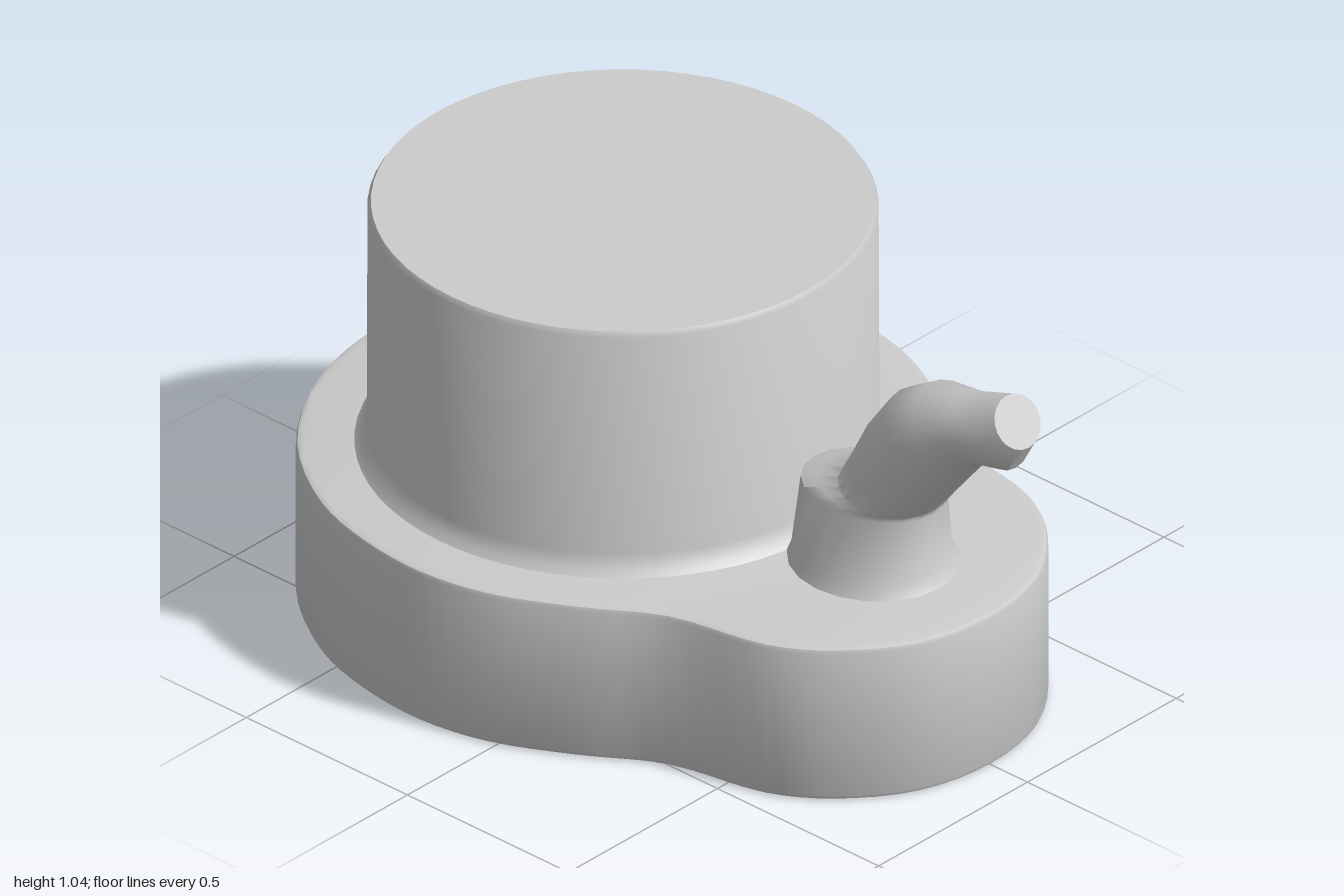
import * as THREE from 'three';
import { toCreasedNormals } from 'three/addons/utils/BufferGeometryUtils.js';

const material = new THREE.MeshStandardMaterial({ color: 0xcccccc });

function part(name, geometry, crease = 0.6) {
  const mesh = new THREE.Mesh(toCreasedNormals(geometry, crease), material);
  mesh.name = name;
  return mesh;
}

// Closed loft through oval sections; each is [leftX, leftY, rightX, rightY, halfDepth]
function loft(sections, sides, z) {
  const pos = [], index = [];
  for (const [lx, ly, rx, ry, b] of sections) {
    for (let i = 0; i < sides; i++) {
      const a = (i / sides) * Math.PI * 2, t = (1 + Math.cos(a)) / 2;
      pos.push(lx + (rx - lx) * t, ly + (ry - ly) * t, z + b * Math.sin(a));
    }
  }
  const last = (sections.length - 1) * sides;
  for (let s = 0; s < last; s += sides) {
    for (let i = 0; i < sides; i++) {
      const j = (i + 1) % sides, a = s + i, b = s + j;
      index.push(a, a + sides, b, b, a + sides, b + sides);
    }
  }
  for (let i = 1; i < sides - 1; i++) {
    index.push(0, i, i + 1, last, last + i + 1, last + i);
  }
  const g = new THREE.BufferGeometry();
  g.setAttribute('position', new THREE.Float32BufferAttribute(pos, 3));
  g.setIndex(index);
  return g;
}

export function createModel() {
  const group = new THREE.Group();
  group.name = 'spoutedVessel';

  // Base: rounded outline with a smaller lobe under the spout
  const half = [
    [-0.95, 0.27], [-0.79, 0.52], [-0.57, 0.675], [-0.39, 0.73], [-0.2, 0.745],
    [-0.02, 0.71], [0.17, 0.615], [0.35, 0.505], [0.6, 0.445], [0.73, 0.36], [0.85, 0.2],
  ];
  const outline = [[-1, 0], ...half, [0.89, 0], ...half.map(([x, z]) => [x, -z]).reverse()];
  const curve = new THREE.CatmullRomCurve3(
    outline.map(([x, z]) => new THREE.Vector3(x, z, 0)), true);
  const shape = new THREE.Shape(
    curve.getPoints(96).slice(0, -1).map((p) => new THREE.Vector2(p.x, p.y)));
  const bevel = 0.012;
  const base = new THREE.ExtrudeGeometry(shape, {
    depth: 0.402 - 2 * bevel, bevelThickness: bevel, bevelSize: bevel,
    bevelOffset: -bevel, bevelSegments: 2,
  });
  base.rotateX(-Math.PI / 2).translate(0, bevel, 0);
  group.add(part('base', base));

  // Drum: straight wall with a flared foot and a softened rim
  const profile = [
    [0.62, 0.395], [0.6, 0.415], [0.585, 0.45], [0.583, 1.025], [0.575, 1.038], [0, 1.04],
  ].map(([r, y]) => new THREE.Vector2(r, y));
  const drum = part('drum', new THREE.LatheGeometry(profile, 64));
  drum.position.set(-0.25, 0, 0.005);
  group.add(drum);

  // Spout: broad collar beside the drum, then a bent tapering neck
  const spout = loft([
    [0.31, 0.39, 0.735, 0.39, 0.2],
    [0.325, 0.43, 0.705, 0.43, 0.18],
    [0.335, 0.595, 0.705, 0.59, 0.145],
    [0.39, 0.615, 0.705, 0.6, 0.138],
    [0.455, 0.635, 0.71, 0.605, 0.132],
    [0.49, 0.7, 0.725, 0.625, 0.13],
    [0.53, 0.78, 0.745, 0.65, 0.128],
    [0.6, 0.88, 0.79, 0.705, 0.122],
    [0.69, 0.935, 0.83, 0.755, 0.11],
    [0.8, 0.952, 0.875, 0.805, 0.09],
    [0.89, 0.985, 0.96, 0.82, 0.085],
    [0.93, 1.0, 1.0, 0.89, 0.068],
  ], 20, -0.005);
  group.add(part('spout', spout, 0.8));

  return group;
}
